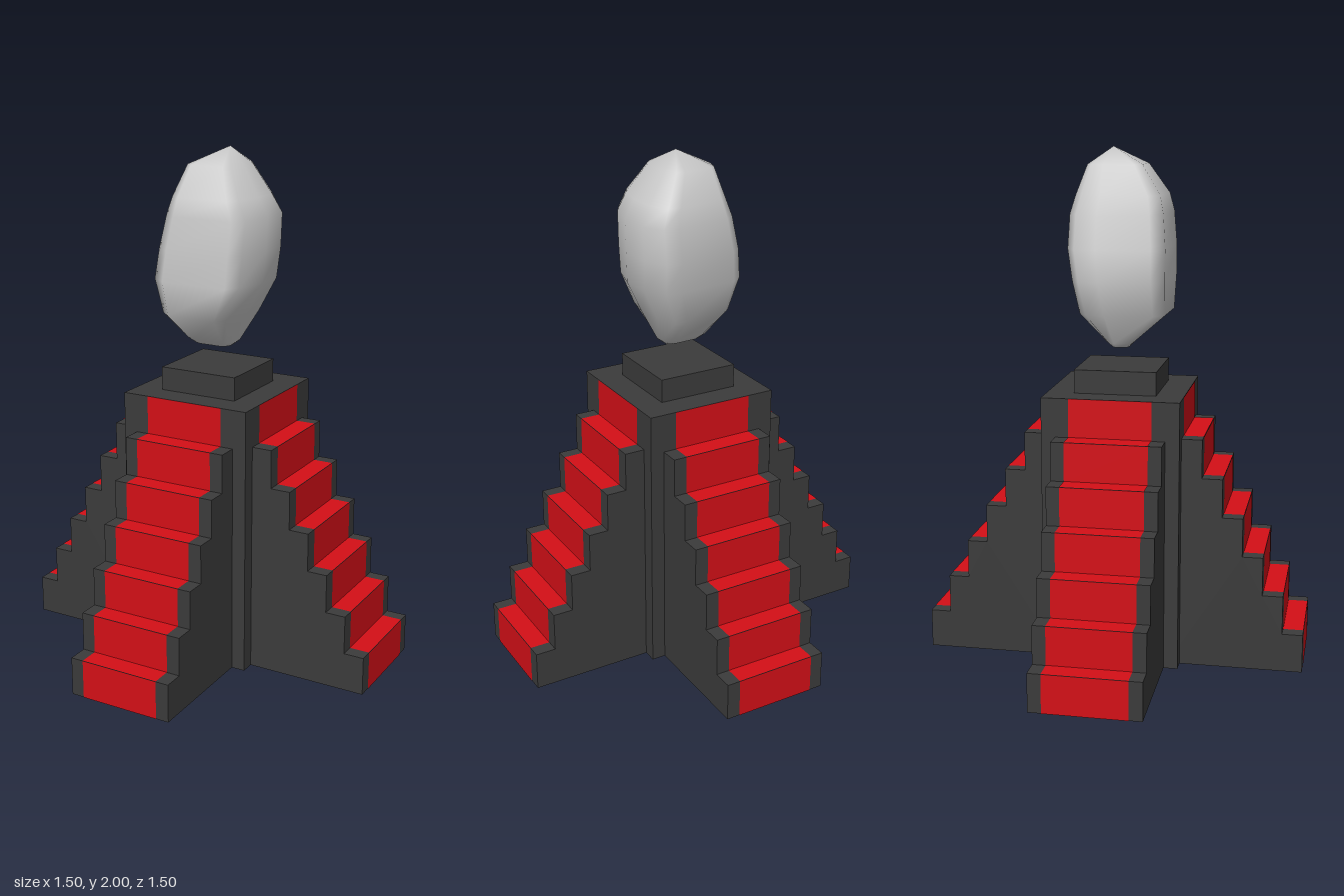
import * as THREE from 'three';

const dark = new THREE.MeshStandardMaterial({ color: 0x3b3b3b });
const red = new THREE.MeshStandardMaterial({ color: 0xd40f17 });
const grey = new THREE.MeshStandardMaterial({ color: 0xcccccc });

const STEPS = 6, RISE = 0.152, RUN = 0.08, CORE = 0.268, HALF_WIDTH = 0.213, CARPET = 0.322;
const LIFT = 0.0015; // carpet thickness above the stone

function add(parent, name, geometry, material) {
  const mesh = new THREE.Mesh(geometry, material);
  mesh.name = name;
  parent.add(mesh);
  return mesh;
}

// One stairway running out along +z: stepped stone body with a red carpet
function makeStairway() {
  const stair = new THREE.Group();
  stair.name = 'stairway';

  const profile = new THREE.Shape();
  profile.moveTo(CORE - 0.05, 0);
  for (let i = 0; i < STEPS; i++) {
    const z = CORE + RUN * (STEPS - i);
    profile.lineTo(z, i * RISE);
    profile.lineTo(z, (i + 1) * RISE);
  }
  profile.lineTo(CORE - 0.05, STEPS * RISE);
  const body = new THREE.ExtrudeGeometry(profile, { depth: 2 * HALF_WIDTH, bevelEnabled: false });
  body.translate(0, 0, -HALF_WIDTH).rotateY(-Math.PI / 2);
  add(stair, 'stairBody', body, dark);

  // Risers on every step and on the core face, treads between them
  for (let i = 0; i <= STEPS; i++) {
    const z = CORE + RUN * (STEPS - i);
    add(stair, 'carpetRiser', new THREE.PlaneGeometry(CARPET, RISE), red)
      .position.set(0, (i + 0.5) * RISE, z + LIFT);
    if (i === STEPS) break;
    const tread = new THREE.PlaneGeometry(CARPET, RUN).rotateX(-Math.PI / 2);
    add(stair, 'carpetTread', tread, red).position.set(0, (i + 1) * RISE + LIFT, z - RUN / 2);
  }
  return stair;
}

// Floating rock: an irregular outline scaled to fit each level
function makeRock() {
  const outline = [
    [1, 0.1], [0.84, 0.72], [0.68, 0.98], [-0.6, 0.95], [-0.88, 0.72], [-1, -0.3],
    [-0.86, -0.72], [-0.66, -0.88], [0.45, -1], [0.74, -0.94], [0.98, -0.55],
  ].reverse();
  // y, min x, max x, min z, max z
  const levels = [
    [1.235, -0.09, 0.06, -0.03, 0.04],
    [1.255, -0.12, 0.085, -0.05, 0.06],
    [1.37, -0.18, 0.14, -0.165, 0.196],
    [1.5, -0.225, 0.205, -0.19, 0.198],
    [1.62, -0.205, 0.213, -0.212, 0.197],
    [1.75, -0.175, 0.218, -0.207, 0.185],
    [1.82, -0.15, 0.18, -0.185, 0.17],
    [1.935, -0.11, 0.105, -0.135, 0.095],
  ];
  const n = outline.length, positions = [], index = [];
  // Outline above runs clockwise from below, so reversed it is anticlockwise from above
  for (const [y, x0, x1, z0, z1] of levels)
    for (const [u, v] of outline)
      positions.push((x0 + x1) / 2 + u * (x1 - x0) / 2, y, (z0 + z1) / 2 + v * (z1 - z0) / 2);
  const last = (levels.length - 1) * n, bottom = levels.length * n, top = bottom + 1;
  positions.push(-0.01, 1.23, 0.015, 0.03, 2, -0.04);
  for (let i = 0; i < n; i++) {
    const j = (i + 1) % n;
    for (let k = 0; k < last; k += n)
      index.push(k + i, k + j, k + n + j, k + i, k + n + j, k + n + i);
    index.push(bottom, j, i, top, last + i, last + j);
  }
  const rock = new THREE.BufferGeometry();
  rock.setAttribute('position', new THREE.Float32BufferAttribute(positions, 3));
  rock.setIndex(index);
  rock.computeVertexNormals();
  return rock;
}

export function createModel() {
  const model = new THREE.Group();
  model.name = 'steppedShrine';

  // Central tower and the slab on top of it
  const height = RISE * (STEPS + 1);
  add(model, 'core', new THREE.BoxGeometry(2 * CORE, height, 2 * CORE), dark).position.y = height / 2;
  add(model, 'topSlab', new THREE.BoxGeometry(0.322, 0.092, 0.322), dark).position.y = height + 0.046;

  // Four stairways, one on each side
  for (let i = 0; i < 4; i++) {
    const stair = makeStairway();
    stair.rotation.y = i * Math.PI / 2;
    model.add(stair);
  }

  add(model, 'floatingRock', makeRock(), grey);
  return model;
}
